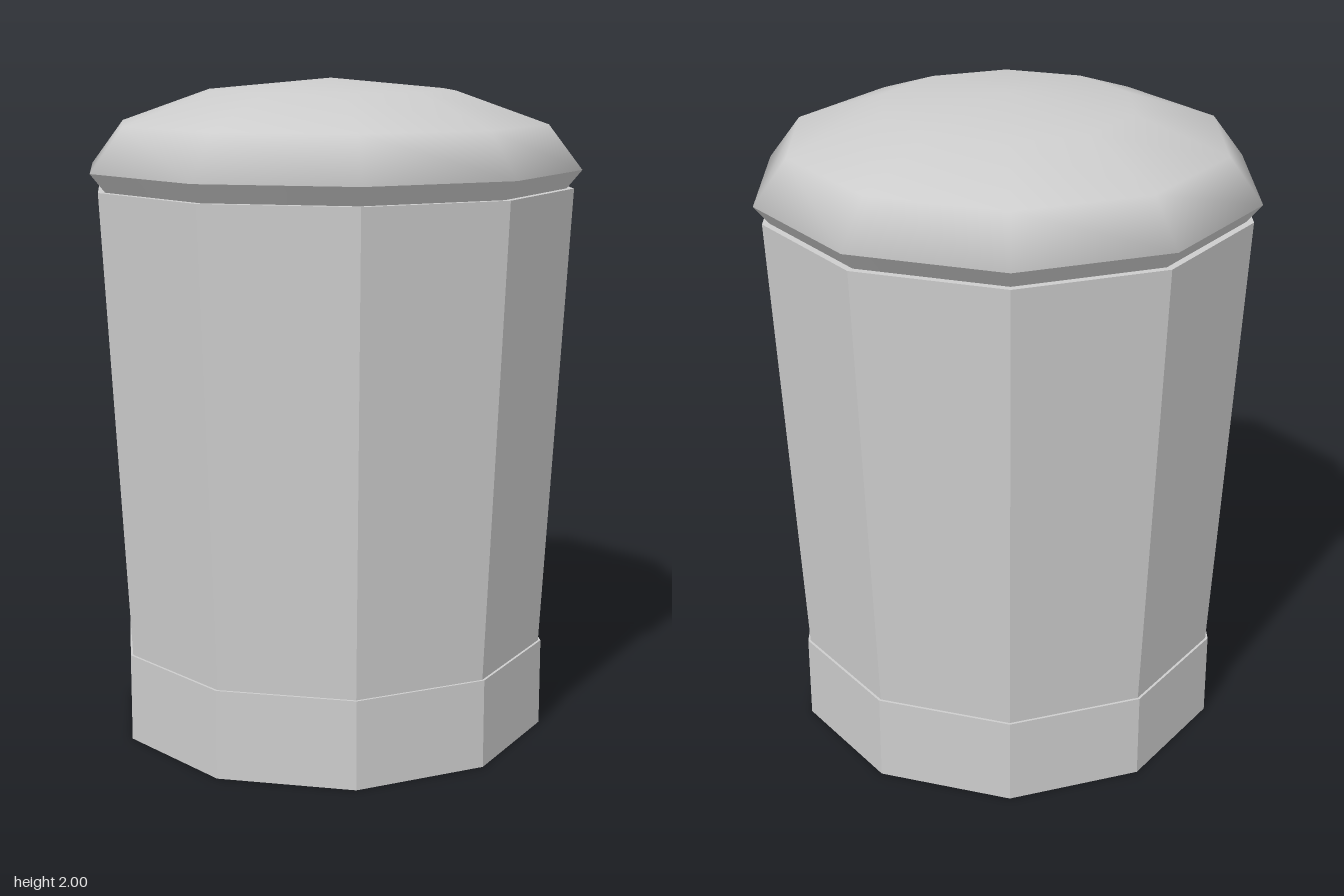
import * as THREE from 'three';

const SIDES = 10;

export function createModel() {
  const group = new THREE.Group();
  const grey = new THREE.MeshStandardMaterial({ color: 0xcccccc });
  grey.name = 'light grey';

  const add = (name, geometry, y = 0) => {
    const mesh = new THREE.Mesh(geometry, grey);
    mesh.name = name;
    mesh.position.y = y;
    group.add(mesh);
  };

  // Faceted ten-sided prism standing between two heights
  const prism = (name, bottomRadius, topRadius, y0, y1) => {
    const indexed = new THREE.CylinderGeometry(topRadius, bottomRadius, y1 - y0, SIDES);
    const geometry = indexed.toNonIndexed();
    geometry.computeVertexNormals();
    add(name, geometry, (y0 + y1) / 2);
  };

  prism('base', 0.67, 0.67, 0, 0.27);
  prism('body', 0.662, 0.737, 0.27, 1.68);

  // Overhanging underside of the lid
  const rimY = 1.735, rimRadius = 0.76;
  add('lidRim', new THREE.CylinderGeometry(rimRadius, 0.715, rimY - 1.68, SIDES, 1, true), (rimY + 1.68) / 2);

  // Flattened smooth dome, turned so its corners line up with the body
  const dome = new THREE.SphereGeometry(rimRadius, SIDES, 3, 0, Math.PI * 2, 0, Math.PI / 2);
  dome.rotateY(Math.PI / 2);
  dome.scale(1, (2 - rimY) / rimRadius, 1);
  add('lidDome', dome, rimY);

  return group;
}
